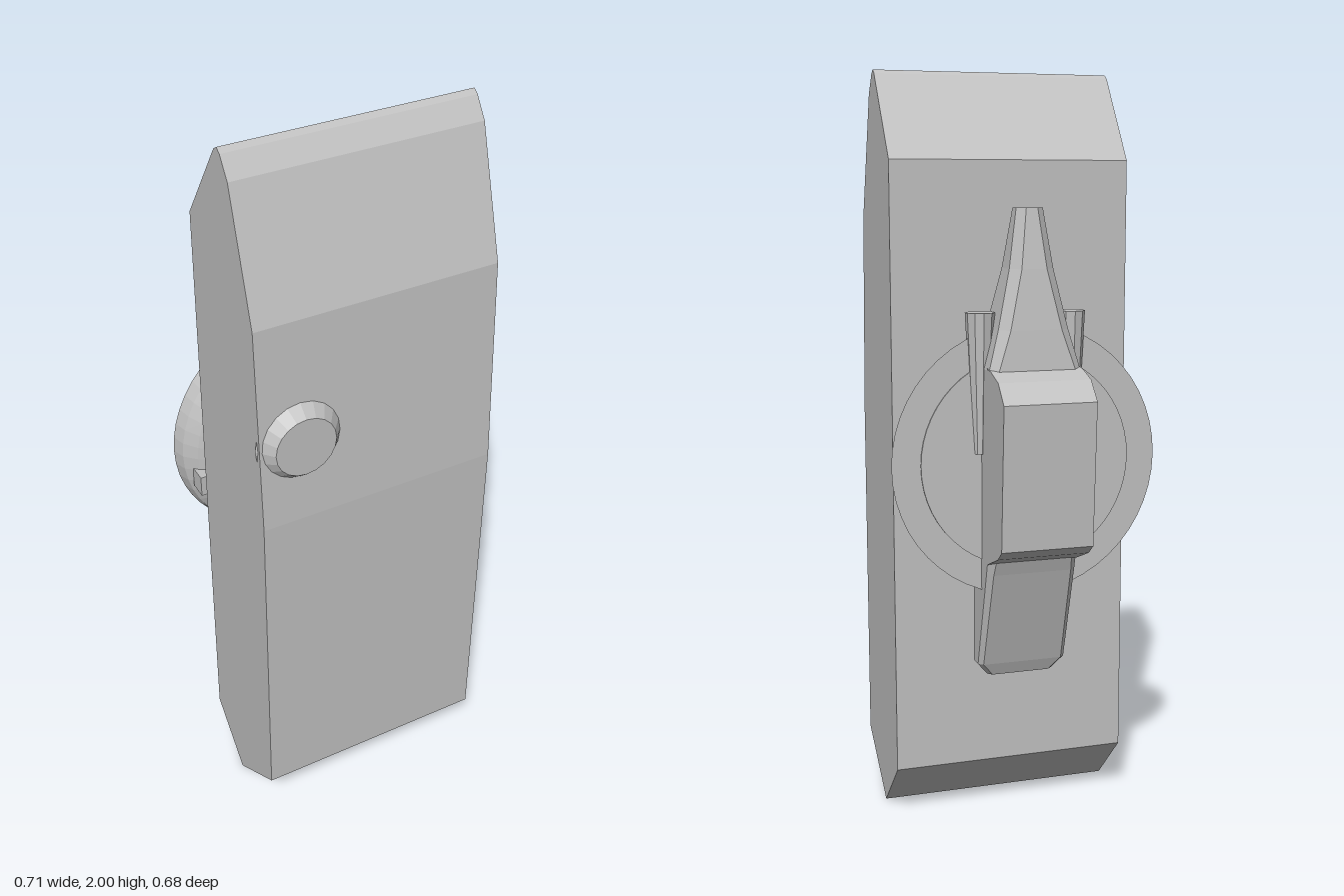
import * as THREE from 'three';

const CY = 1.005; // height of the round fixture's centre

// Skin a list of rings (counterclockwise about the direction of travel) and cap both ends.
function loft(rings) {
  const pos = [];
  const tri = (...p) => p.forEach(v => pos.push(v.x, v.y, v.z));
  const n = rings[0].length;
  const centre = r => r.reduce((s, p) => s.add(p), new THREE.Vector3()).divideScalar(n);
  const first = rings[0], last = rings[rings.length - 1];
  const c0 = centre(first), c1 = centre(last);
  for (let j = 0; j < n; j++) {
    const k = (j + 1) % n;
    for (let i = 0; i < rings.length - 1; i++) {
      const a = rings[i], b = rings[i + 1];
      tri(a[j], a[k], b[k]);
      tri(a[j], b[k], b[j]);
    }
    tri(c0, first[k], first[j]);
    tri(c1, last[j], last[k]);
  }
  const g = new THREE.BufferGeometry();
  g.setAttribute('position', new THREE.Float32BufferAttribute(pos, 3));
  g.computeVertexNormals();
  return g;
}

// Chamfered rectangle at height y, ordered about +y.
function section([y, w, z0, z1, c]) {
  return [[w - c, z0], [-w + c, z0], [-w, z0 + c], [-w, z1 - c], [-w + c, z1], [w - c, z1], [w, z1 - c], [w, z0 + c]]
    .map(([x, z]) => new THREE.Vector3(x, y, z));
}

// Circle segment lying beyond x = cut, ordered about +z.
function segment([r, z], cut = 0.12, steps = 20) {
  const half = Math.acos(cut / r);
  return Array.from({ length: steps + 1 }, (_, i) => {
    const t = -half + (2 * half * i) / steps;
    return new THREE.Vector3(r * Math.cos(t), CY + r * Math.sin(t), z);
  });
}

// Side profile of [z, y] points extruded evenly across x.
function acrossX(points, width) {
  const shape = new THREE.Shape(points.map(p => new THREE.Vector2(...p)));
  const g = new THREE.ExtrudeGeometry(shape, { depth: width, bevelEnabled: false });
  return g.rotateY(-Math.PI / 2).translate(width / 2, 0, 0);
}

export function createModel() {
  const model = new THREE.Group();
  const grey = new THREE.MeshStandardMaterial({ color: 0xc0c0c0 });
  grey.name = 'grey';
  grey.flatShading = true;
  const add = (name, geometry, parent = model) => {
    const mesh = new THREE.Mesh(geometry, grey);
    mesh.name = name;
    parent.add(mesh);
    return mesh;
  };

  // Tall slab with a pointed foot and head
  add('slab', acrossX([
    [0.13, 0], [0.328, 0.145], [0.328, 1.07], [0.298, 1.62], [0.2, 1.94], [0.165, 1.99],
    [0.15, 2], [0.135, 1.99], [-0.017, 1.77], [-0.017, 0.145],
  ], 0.644));

  // Round front button
  const button = add('button', new THREE.CylinderGeometry(0.08, 0.115, 0.04, 20));
  button.rotation.x = Math.PI / 2;
  button.position.set(-0.212, 1.295, 0.322);

  // Rear body: foot plate, waist and tapering neck
  add('body', loft([
    [0.42, 0.09, -0.105, -0.067, 0.012],
    [0.455, 0.12, -0.12, -0.06, 0.012],
    [0.72, 0.12, -0.203, -0.06, 0.015],
    [0.78, 0.12, -0.225, -0.06, 0.02],
    [1.25, 0.12, -0.237, -0.06, 0.02],
    [1.35, 0.092, -0.228, -0.072, 0.025],
    [1.5, 0.058, -0.211, -0.098, 0.025],
    [1.65, 0.035, -0.19, -0.12, 0.02],
  ].map(section)));

  // Block standing out behind the body
  add('rearBlock', acrossX([
    [-0.2, 0.75], [-0.2, 1.255], [-0.235, 1.25], [-0.295, 1.23], [-0.342, 1.18], [-0.322, 0.81], [-0.29, 0.785],
  ].reverse(), 0.242));

  // Small dome facing the slab
  const dome = add('dome', new THREE.SphereGeometry(0.05, 14, 8));
  dome.scale.z = 0.5;
  dome.position.set(0, CY, -0.06);

  // Half shells with lugs and posts, mirrored
  for (const side of [1, -1]) {
    const half = new THREE.Group();
    half.name = side > 0 ? 'leftHalf' : 'rightHalf';
    half.scale.x = side;
    model.add(half);
    add('shell', loft([[0.356, -0.145], [0.345, -0.11], [0.315, -0.08], [0.25, -0.045], [0.2, -0.018]].map(p => segment(p))), half);
    add('rearPlate', loft([[0.28, -0.149], [0.28, -0.14]].map(p => segment(p))), half);
    const lug = add('lug', new THREE.BoxGeometry(0.1, 0.06, 0.05), half);
    lug.position.set(0.275, 0.94, -0.07);
    const post = add('post', new THREE.CylinderGeometry(0.038, 0.02, 0.36, 10), half);
    post.position.set(0.121, 1.21, -0.14);
  }
  return model;
}
